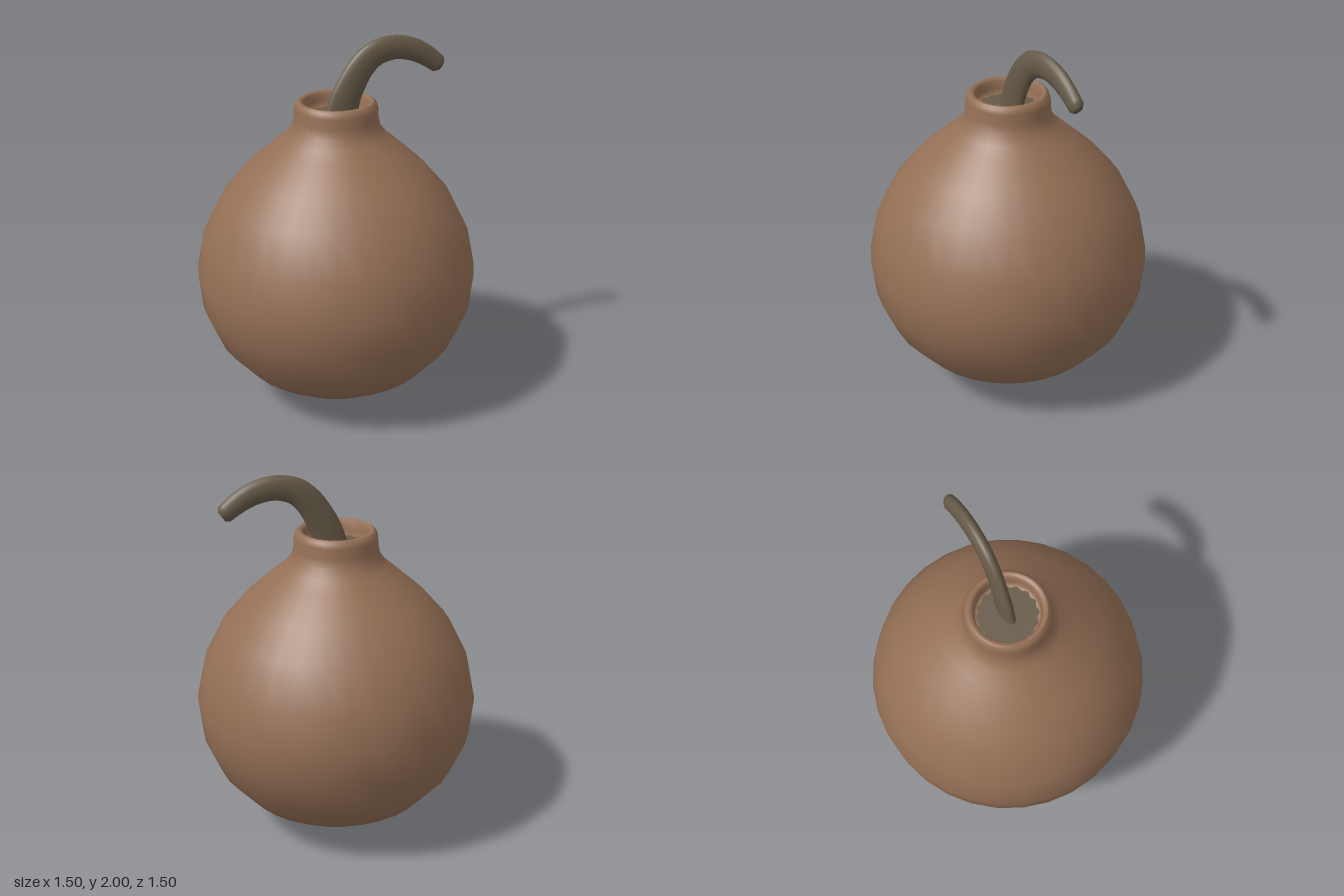
import * as THREE from 'three';
import { mergeVertices } from 'three/addons/utils/BufferGeometryUtils.js';

const clay = new THREE.MeshStandardMaterial({ color: 0x946f55 });
clay.name = 'brown shell';
const cord = new THREE.MeshStandardMaterial({ color: 0x665a48 });
cord.name = 'olive cord';

const part = (name, geometry, material) => {
  const mesh = new THREE.Mesh(geometry, material);
  mesh.name = name;
  return mesh;
};
const vectors = (list) => list.map(([x, y]) => new THREE.Vector2(x, y));

// Round shell flowing into the neck
function shellGeometry() {
  return new THREE.LatheGeometry(vectors([
    [0, 0], [0.17, 0.032], [0.33, 0.09], [0.5, 0.195], [0.645, 0.355],
    [0.73, 0.55], [0.752, 0.75], [0.71, 0.96], [0.61, 1.16], [0.48, 1.31],
    [0.34, 1.435], [0.27, 1.495], [0.235, 1.54], [0.222, 1.59],
    [0.22, 1.645], [0.212, 1.67], [0.197, 1.682],
  ]), 32);
}

// Rim of the neck and the recess inside it
function rimGeometry() {
  return new THREE.LatheGeometry(vectors([
    [0.197, 1.682], [0.182, 1.682], [0.172, 1.668], [0.166, 1.63], [0.162, 1.585], [0, 1.585],
  ]), 32);
}

// Plug with a scalloped edge
function plugGeometry() {
  const points = [];
  for (let i = 0; i < 96; i++) {
    const a = (i / 96) * Math.PI * 2;
    const r = 0.153 + 0.006 * Math.cos(16 * a);
    points.push(new THREE.Vector2(r * Math.cos(a), r * Math.sin(a)));
  }
  return new THREE.ShapeGeometry(new THREE.Shape(points)).rotateX(-Math.PI / 2).translate(0, 1.6, 0);
}

// Flattened, tapering tube that bends over toward +x
function makeFuse() {
  const curve = new THREE.CatmullRomCurve3([
    [0.03, 1.59], [0.053, 1.68], [0.09, 1.76], [0.145, 1.845], [0.215, 1.905],
    [0.32, 1.93], [0.425, 1.912], [0.51, 1.87], [0.6, 1.803],
  ].map(([x, y]) => new THREE.Vector3(x, y, 0)));
  const steps = 40, sides = 20;
  const halfWidth = (t) => 0.094 - 0.083 * t + 0.1 * t * t - 0.064 * t * t * t;
  const bevel = (i) => (i === steps ? 0.65 : 1);

  const tube = new THREE.TubeGeometry(curve, steps, 1, sides);
  const pos = tube.attributes.position;
  for (let i = 0; i <= steps; i++) {
    const c = curve.getPointAt(i / steps);
    const w = halfWidth(i / steps) * bevel(i);
    for (let j = 0; j <= sides; j++) {
      const k = i * (sides + 1) + j;
      pos.setXYZ(k, c.x + (pos.getX(k) - c.x) * w, c.y + (pos.getY(k) - c.y) * w,
        pos.getZ(k) * 0.036 * bevel(i));
    }
  }
  tube.deleteAttribute('uv');
  tube.deleteAttribute('normal');
  const skin = mergeVertices(tube, 1e-5);
  skin.computeVertexNormals();

  // Flat tip closing the free end
  const tip = part('fuseTip', new THREE.CircleGeometry(1, sides), cord);
  const end = curve.getPointAt(1);
  tip.position.copy(end);
  tip.lookAt(end.clone().add(curve.getTangentAt(1)));
  tip.scale.set(0.036 * 0.65, halfWidth(1) * 0.65, 1);

  const fuse = new THREE.Group();
  fuse.name = 'fuse';
  fuse.add(part('fuseCord', skin, cord), tip);
  return fuse;
}

export function createModel() {
  const model = new THREE.Group();
  model.name = 'roundBomb';
  model.add(
    part('shell', shellGeometry(), clay),
    part('neckRim', rimGeometry(), clay),
    part('plug', plugGeometry(), cord),
    makeFuse(),
  );
  return model;
}
